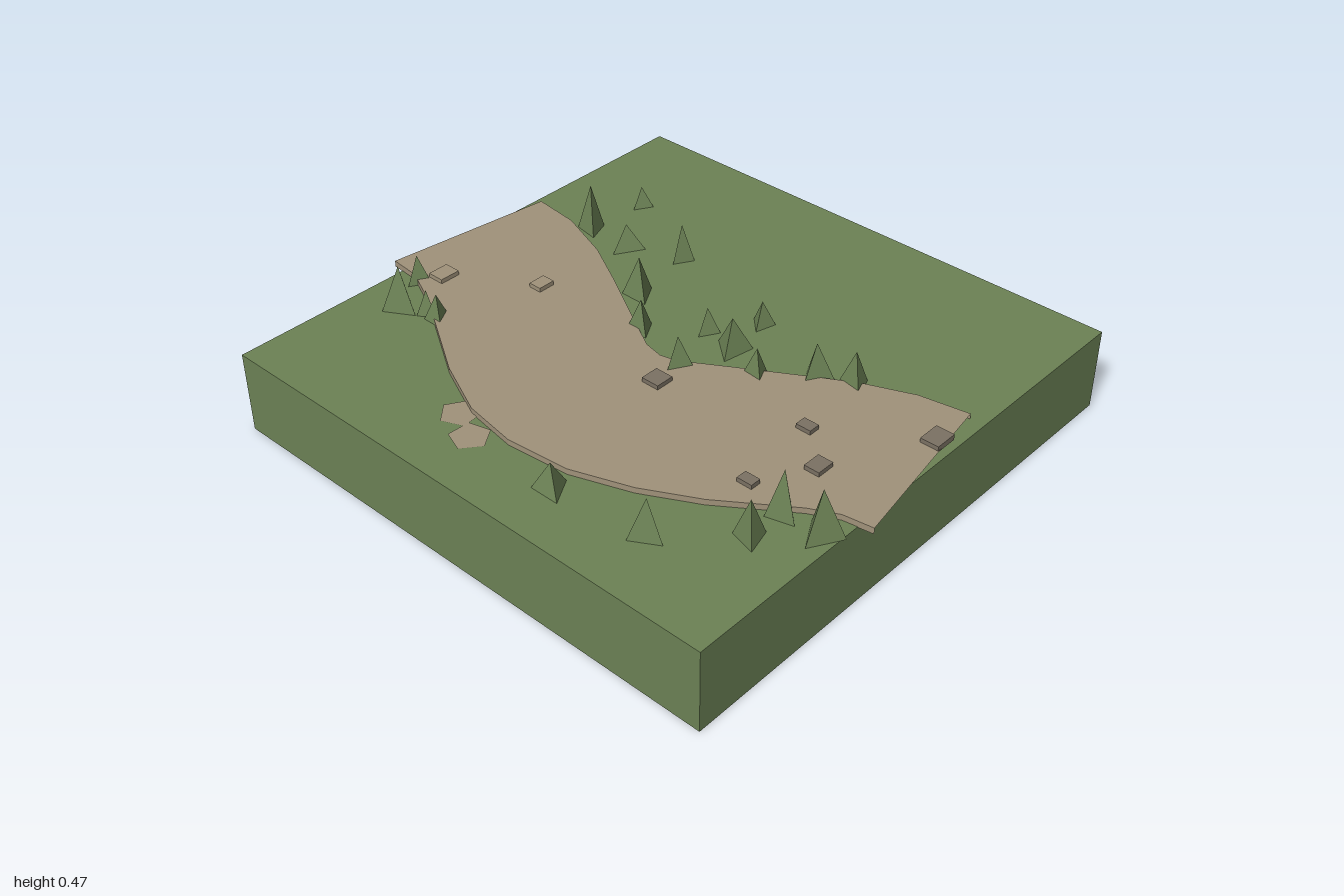
import * as THREE from 'three';

const GROUND = 0.29, ROAD = 0.31;

// path edges as [x, z], back to front
const leftEdge = [[-.30, -1], [-.31, -.89], [-.375, -.75], [-.48, -.58], [-.585, -.41], [-.675, -.21], [-.705, -.02],
  [-.685, .2], [-.615, .4], [-.52, .58], [-.36, .81], [-.315, .9], [-.30, 1]];
const rightEdge = [[.30, -.92], [.28, -.75], [.205, -.55], [.11, -.38], [-.015, -.17], [-.085, -.05], [-.10, .02],
  [-.085, .08], [0, .22], [.125, .43], [.2, .56], [.27, .73], [.30, .9]];

// x, z, radius, tip height, turn in degrees
const trees = [
  [-.45, -.79, .065, .45, 0], [-.31, -.87, .045, .39, 30], [-.415, -.705, .037, .38, 5], [-.42, -.65, .046, .39, 90],
  [.305, -.675, .052, .465, 80], [.54, -.66, .042, .365, 30], [.305, -.51, .066, .38, 30], [.375, -.32, .044, .425, 30],
  [.12, -.275, .058, .435, 90], [-.02, -.135, .048, .405, 90], [.115, .025, .043, .38, 30], [-.095, .09, .056, .41, 30],
  [.09, .15, .067, .41, 50], [.258, .13, .044, .38, 45], [.03, .30, .047, .40, 85], [.15, .435, .06, .42, 30],
  [.195, .55, .054, .42, 80], [-.765, .22, .06, .39, 90], [-.725, .55, .06, .425, 0], [-.545, .765, .054, .43, 75],
  [-.41, .77, .054, .455, 105], [-.405, .90, .07, .455, 30]];

// x, z, width, depth, pale
const stones = [[-.25, -.81, .075, .06, true], [-.075, -.53, .062, .048, true], [-.205, .105, .065, .065],
  [-.08, .587, .04, .054], [-.383, .62, .038, .054], [-.20, .725, .065, .054], [.13, .90, .08, .064]];

// flat ribbon between two polylines of 3D points
function strip(a, b) {
  const pos = [], index = [];
  a.forEach((p, i) => {
    pos.push(...p, ...b[i]);
    if (i) index.push(2 * i - 2, 2 * i, 2 * i - 1, 2 * i - 1, 2 * i, 2 * i + 1);
  });
  const indexed = new THREE.BufferGeometry();
  indexed.setAttribute('position', new THREE.Float32BufferAttribute(pos, 3));
  indexed.setIndex(index);
  const g = indexed.toNonIndexed();
  g.computeVertexNormals();
  return g;
}

export function createModel() {
  const model = new THREE.Group();
  const mat = (name, color, side = THREE.FrontSide) => {
    const m = new THREE.MeshStandardMaterial({ color, side });
    m.name = name;
    return m;
  };
  const green = mat('grass green', 0x6c8255, THREE.DoubleSide);
  const sand = mat('sandy path', 0xa0927a, THREE.DoubleSide);
  const grey = mat('stone grey', 0x7c7264);

  const add = (name, geometry, material, x = 0, y = 0, z = 0) => {
    const mesh = new THREE.Mesh(geometry, material);
    mesh.name = name;
    mesh.position.set(x, y, z);
    model.add(mesh);
    return mesh;
  };

  // ground block, open underneath
  const box = new THREE.BoxGeometry(1.91, GROUND, 1.91);
  const idx = Array.from(box.index.array);
  idx.splice(18, 6);
  box.setIndex(idx);
  box.clearGroups();
  add('ground', box, green, 0, GROUND / 2, -0.005);

  // winding path: top and side walls, open ends
  const at = (edge, y) => edge.map(([x, z]) => [x, y, z]);
  const base = GROUND - 0.002;
  add('pathTop', strip(at(leftEdge, ROAD), at(rightEdge, ROAD)), sand);
  add('pathLeftSide', strip(at(leftEdge, base), at(leftEdge, ROAD)), sand);
  add('pathRightSide', strip(at(rightEdge, ROAD), at(rightEdge, base)), sand);

  // bare earth patches beside the path
  [[-.70, -.235, .4], [-.755, -.13, .9]].forEach(([x, z, turn]) => {
    const patch = add('earthPatch', new THREE.CircleGeometry(0.066, 5).rotateX(-Math.PI / 2), sand, x, GROUND + 0.003, z);
    patch.rotation.y = turn;
  });

  // flat stones lying on the path
  stones.forEach(([x, z, w, d, pale]) =>
    add('stone', new THREE.BoxGeometry(w, 0.02, d), pale ? sand : grey, x, ROAD + 0.005, z));

  // three-sided trees
  trees.forEach(([x, z, r, tip, turn]) => {
    const h = tip - GROUND;
    const cone = new THREE.ConeGeometry(r, h, 3).toNonIndexed();
    cone.computeVertexNormals();
    const tree = add('tree', cone, green, x, GROUND + h / 2 + 0.001, z);
    tree.rotation.y = THREE.MathUtils.degToRad(turn);
  });

  return model;
}
